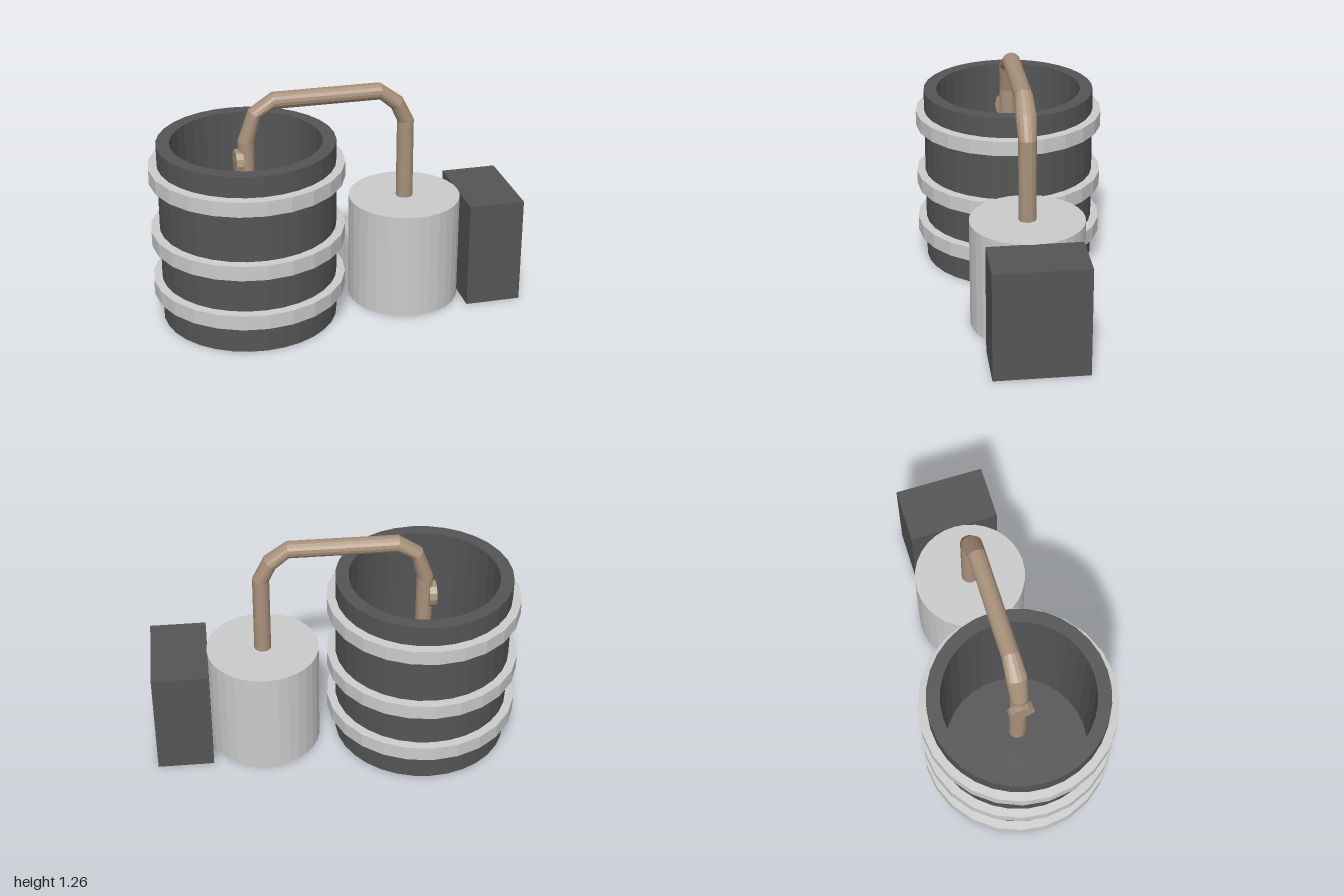
import * as THREE from 'three';

const material = (color) => new THREE.MeshStandardMaterial({ color, flatShading: true });

export function createModel() {
  const model = new THREE.Group();
  const dark = material(0x555555);
  const grey = material(0xcccccc);
  const brown = material(0xa8917a);
  brown.side = THREE.DoubleSide;

  const add = (name, geometry, mat, x = 0, y = 0, z = 0) => {
    const mesh = new THREE.Mesh(geometry, mat);
    mesh.name = name;
    mesh.position.set(x, y, z);
    model.add(mesh);
    return mesh;
  };
  const lathe = (points, sides) =>
    new THREE.LatheGeometry(points.map(([r, y]) => new THREE.Vector2(r, y)), sides);

  // Open barrel with a thick wall
  const barrelX = -0.477;
  add('barrel', lathe([[0, 0], [0.475, 0], [0.475, 1.005], [0.403, 1.005], [0.403, 0.08], [0, 0.08]], 32),
    dark, barrelX);

  // Three hoops around the barrel
  for (const y of [0.197, 0.485, 0.845]) {
    add('barrelHoop', lathe([[0.46, -0.046], [0.522, -0.041], [0.522, 0.041], [0.46, 0.046]], 24),
      grey, barrelX, y);
  }

  // Pump cylinder and the box beside it
  add('pumpCylinder', new THREE.CylinderGeometry(0.305, 0.305, 0.595, 32), grey, 0.395, 0.2975);
  add('controlBox', new THREE.BoxGeometry(0.305, 0.595, 0.5), dark, 0.8475, 0.2975);

  // Bent pipe: each ring is centre x, y, half-width vector x, y, half-depth in z
  const rings = [
    [0.395, 0.5, 0, 0, 0],
    [0.395, 0.5, 0.046, 0, 0.047],
    [0.393, 1.037, 0.045, 0.004, 0.048],
    [0.343, 1.14, 0.03, 0.03, 0.055],
    [0.248, 1.214, 0.004, 0.045, 0.048],
    [-0.33, 1.214, -0.004, 0.045, 0.048],
    [-0.43, 1.152, -0.031, 0.019, 0.055],
    [-0.478, 1.0, -0.044, 0.003, 0.048],
    [-0.48, 0.4, -0.044, 0, 0.047],
    [-0.48, 0.4, 0, 0, 0],
  ];
  const sides = 16;
  const positions = [];
  const index = [];
  rings.forEach(([x, y, nx, ny, depth], i) => {
    for (let j = 0; j < sides; j++) {
      const angle = (j / sides) * Math.PI * 2;
      const c = Math.cos(angle);
      positions.push(x + nx * c, y + ny * c, depth * Math.sin(angle));
      if (i === rings.length - 1) continue;
      const a = i * sides + j;
      const b = i * sides + ((j + 1) % sides);
      index.push(a, a + sides, b, b, a + sides, b + sides);
    }
  });
  const pipe = new THREE.BufferGeometry();
  pipe.setAttribute('position', new THREE.Float32BufferAttribute(positions, 3));
  pipe.setIndex(index);
  pipe.computeVertexNormals();
  add('pipe', pipe, brown);

  // Small round valve on the pipe inside the barrel
  const valve = add('valveDisc', new THREE.CylinderGeometry(0.07, 0.07, 0.04, 12), brown, -0.52, 0.885);
  valve.rotation.z = Math.PI / 2;

  return model;
}
